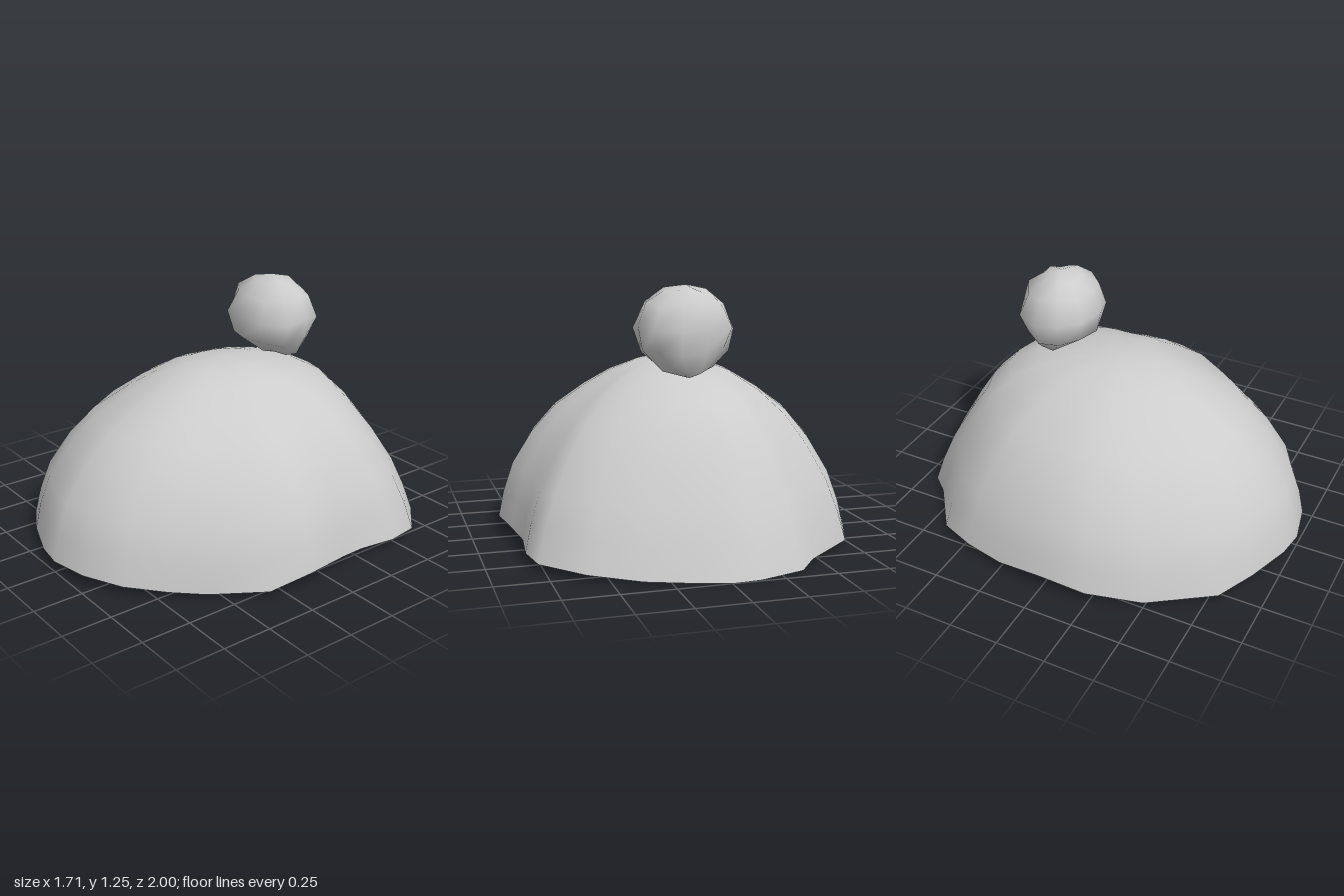
import * as THREE from 'three';

// Smooth skin over rings (bottom to top), closed by optional pole points.
function loft(rings, top, bottom) {
  const n = rings[0].length;
  const pts = rings.flat();
  const index = [];
  for (let r = 0; r < rings.length - 1; r++) {
    for (let i = 0; i < n; i++) {
      const j = (i + 1) % n;
      const a = r * n + i, b = r * n + j;
      index.push(a, b, b + n, a, b + n, a + n);
    }
  }
  const last = (rings.length - 1) * n;
  const addPole = (point, start, up) => {
    const p = pts.push(point) - 1;
    for (let i = 0; i < n; i++) {
      const a = start + i, b = start + (i + 1) % n;
      index.push(...(up ? [a, b, p] : [b, a, p]));
    }
  };
  if (top) addPole(top, last, true);
  if (bottom) addPole(bottom, 0, false);
  const geo = new THREE.BufferGeometry();
  geo.setAttribute('position', new THREE.Float32BufferAttribute(pts.flat(), 3));
  geo.setIndex(index);
  geo.computeVertexNormals();
  return geo;
}

// Uneven lower edge of the cap: x, height, z
const RIM = [
  [0, 0.055, 1], [0.2, 0.055, 0.96], [0.38, 0.045, 0.86], [0.52, 0.025, 0.7],
  [0.63, 0.015, 0.56], [0.81, 0.035, 0.34], [0.85, 0.075, 0.13], [0.82, 0.07, -0.1],
  [0.79, 0.05, -0.25], [0.81, 0.045, -0.45], [0.78, 0.04, -0.62], [0.6, 0.03, -0.8],
  [0.37, 0.01, -0.9], [0.2, 0.005, -0.95], [0, 0, -1], [-0.14, 0, -0.99],
  [-0.36, 0.005, -0.93], [-0.45, 0.02, -0.83], [-0.7, 0.035, -0.64], [-0.78, 0.045, -0.45],
  [-0.83, 0.05, -0.24], [-0.855, 0.08, 0], [-0.845, 0.06, 0.24], [-0.75, 0.03, 0.5],
  [-0.55, 0.035, 0.8], [-0.36, 0.05, 0.9], [-0.14, 0.055, 0.98],
];

// Rings of the cap: height fraction, radius at front and sides, radius at back
const PROFILE = [
  [0, 1, 1], [0.16, 0.97, 0.95], [0.34, 0.915, 0.88], [0.54, 0.8, 0.78],
  [0.7, 0.665, 0.69], [0.83, 0.49, 0.58], [0.92, 0.34, 0.43], [0.975, 0.2, 0.22],
];

function capGeometry() {
  const topY = 0.875;
  const rings = PROFILE.map(([f, side, back]) => RIM.map(([x, y, z]) => {
    const w = Math.max(0, -z / Math.hypot(x, z)) ** 2;
    const r = THREE.MathUtils.lerp(side, back, w);
    // The dents of the rim fade out towards the crown
    const a = Math.atan2(x, z);
    const smooth = 1 / Math.hypot(Math.sin(a) / 0.85, Math.cos(a));
    const radius = THREE.MathUtils.lerp(Math.hypot(x, z), smooth, f * 0.6) * r;
    return [Math.sin(a) * radius, y + (topY - y) * f, Math.cos(a) * radius];
  }));
  return loft(rings, [0, topY, 0]);
}

// Slightly lumpy ball with a small tip
function pompomGeometry() {
  const sides = 11;
  const profile = [[0.5, 0.855], [0.86, 0.94], [1, 1.05], [0.8, 1.165], [0.42, 1.225]];
  const rings = profile.map(([r, y], k) => Array.from({ length: sides }, (_, i) => {
    const a = (i / sides) * Math.PI * 2;
    const lump = 1 + 0.035 * Math.sin(i * 2.4 + k * 1.7);
    return [
      0.01 + Math.sin(a) * 0.245 * r * lump,
      y + 0.012 * Math.sin(i * 1.9 + k),
      -0.315 - 0.05 * Math.max(0, 1 - k) + Math.cos(a) * 0.208 * r * lump,
    ];
  }));
  return loft(rings, [0.005, 1.25, -0.32], [0.01, 0.815, -0.4]);
}

export function createModel() {
  const group = new THREE.Group();
  group.name = 'pompomCap';
  const grey = new THREE.MeshStandardMaterial({ color: 0xcccccc, side: THREE.DoubleSide });
  grey.name = 'lightGrey';

  const cap = new THREE.Mesh(capGeometry(), grey);
  cap.name = 'cap';
  const pompom = new THREE.Mesh(pompomGeometry(), grey);
  pompom.name = 'pompom';
  group.add(cap, pompom);
  return group;
}
